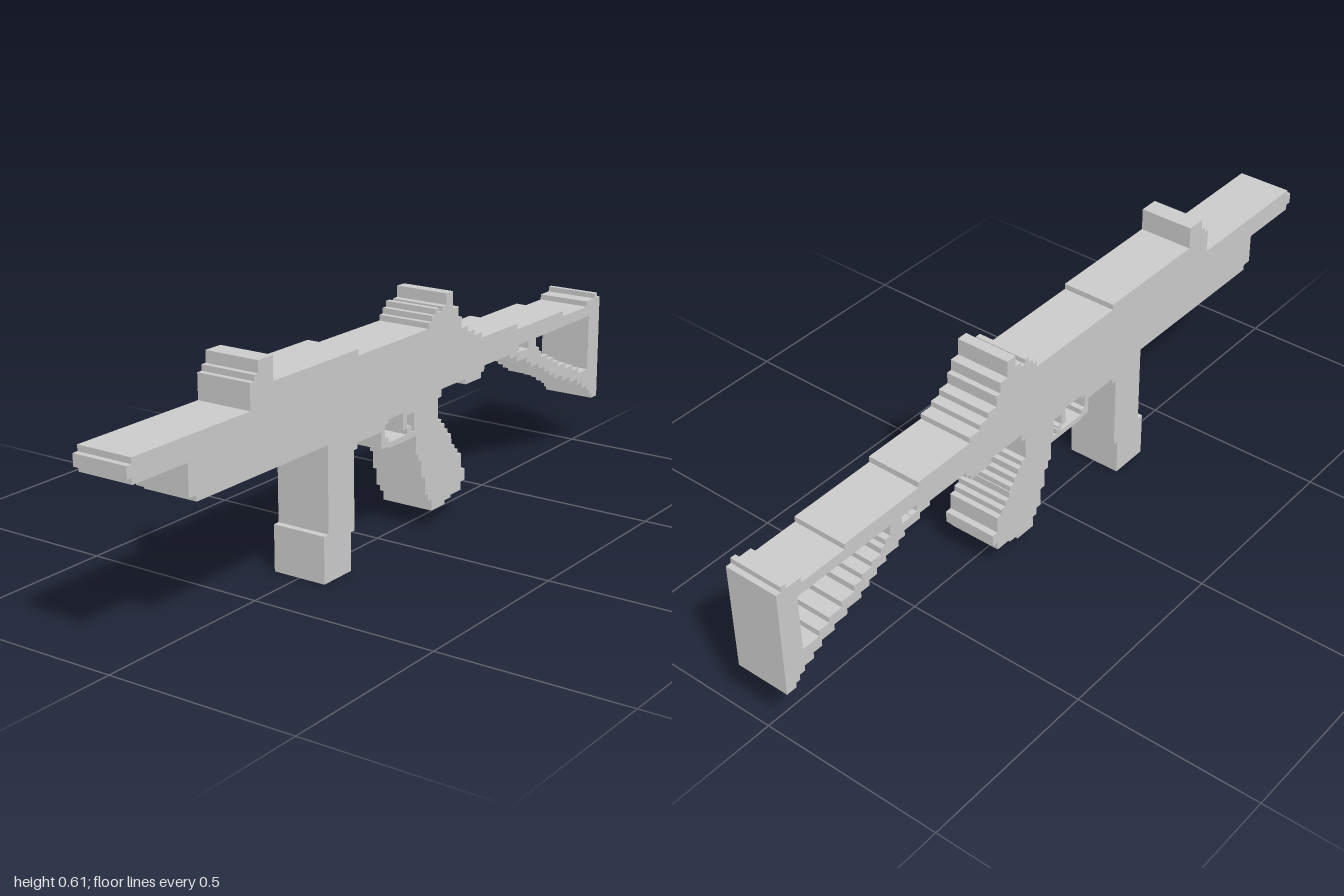
import * as THREE from 'three';

const WIDTH = 0.15;
const material = new THREE.MeshStandardMaterial({ color: 0xcccccc });

// Extrude a stair-stepped side profile across the width.
// Each span is [start, low, high] along the axis; the last one stops at end.
function stepped(name, spans, end, axis = 'z') {
  const high = [], low = [];
  spans.forEach(([start, lo, hi], i) => {
    const stop = i + 1 < spans.length ? spans[i + 1][0] : end;
    high.push([start, hi], [stop, hi]);
    low.push([start, lo], [stop, lo]);
  });
  const outline = [...high, ...low.reverse()]
    .filter((p, i, a) => i === 0 || p[0] !== a[i - 1][0] || p[1] !== a[i - 1][1])
    .map(([a, b]) => (axis === 'z' ? new THREE.Vector2(a, b) : new THREE.Vector2(b, a)));
  const geometry = new THREE.ExtrudeGeometry(new THREE.Shape(outline), { depth: WIDTH, bevelEnabled: false });
  geometry.translate(0, 0, -WIDTH / 2).rotateY(-Math.PI / 2);
  const mesh = new THREE.Mesh(geometry, material);
  mesh.name = name;
  return mesh;
}

export function createModel() {
  const model = new THREE.Group();
  model.name = 'blockGun';

  // Barrel and main body
  model.add(stepped('barrel', [[1, 0.455, 0.485], [0.985, 0.44, 0.5]], 0.81));
  model.add(stepped('receiver', [
    [0.81, 0.36, 0.5], [0.785, 0.345, 0.5], [0.595, 0.345, 0.55], [0.185, 0.345, 0.535],
    [-0.176, 0.365, 0.535], [-0.267, 0.365, 0.505], [-0.29, 0.35, 0.505], [-0.298, 0.35, 0.488],
    [-0.328, 0.35, 0.473], [-0.365, 0.365, 0.458], [-0.38, 0.38, 0.458],
  ], -0.51));

  // Sights
  model.add(stepped('frontSight', [[0.595, 0.55, 0.565], [0.58, 0.55, 0.58], [0.565, 0.55, 0.61]], 0.512));
  model.add(stepped('rearSight', [
    [-0.115, 0.535, 0.55], [-0.13, 0.535, 0.565], [-0.145, 0.535, 0.58], [-0.16, 0.535, 0.567],
    [-0.176, 0.535, 0.58], [-0.195, 0.535, 0.61], [-0.225, 0.535, 0.565],
  ], -0.252));

  // Magazine and the housing behind it
  model.add(stepped('magazine', [[0.345, 0.205, 0.31], [0.122, 0.205, 0.328], [0.1, 0.22, 0.328]], 0, 'y'));
  model.add(stepped('magazineHousing', [[0.205, 0.305, 0.345], [0.19, 0.32, 0.345]], 0.09));

  // Trigger guard and trigger
  const guard = new THREE.Group();
  guard.name = 'triggerGuard';
  guard.add(
    stepped('guardFront', [[0.09, 0.275, 0.345]], 0.075),
    stepped('guardBottom', [[0.075, 0.275, 0.3], [0.06, 0.27, 0.285]], -0.06),
    stepped('guardTop', [[0.075, 0.335, 0.345]], 0.06),
    stepped('trigger', [[-0.003, 0.3, 0.345], [-0.02, 0.285, 0.305], [-0.035, 0.285, 0.3]], -0.04),
    stepped('guardRearTop', [[-0.018, 0.335, 0.345]], -0.055),
  );
  model.add(guard);

  // Pistol grip, stepped from top to bottom: [height, rear, front]
  model.add(stepped('grip', [
    [0.365, -0.176, -0.052], [0.35, -0.16, -0.052], [0.285, -0.176, -0.055], [0.27, -0.191, -0.06],
    [0.252, -0.206, -0.06], [0.235, -0.222, -0.06], [0.22, -0.225, -0.073], [0.2, -0.24, -0.087],
    [0.184, -0.256, -0.087], [0.168, -0.272, -0.087], [0.15, -0.272, -0.103], [0.122, -0.29, -0.103],
    [0.1, -0.29, -0.118], [0.09, -0.272, -0.118], [0.08, -0.272, -0.134], [0.067, -0.225, -0.134],
    [0.06, -0.195, -0.134],
  ], 0.05, 'y'));

  // Shoulder stock: upper rail, sloping strut and butt plate
  const stock = new THREE.Group();
  stock.name = 'stock';
  stock.add(
    stepped('stockRail', [
      [-0.51, 0.38, 0.458], [-0.545, 0.38, 0.442], [-0.555, 0.397, 0.442],
      [-0.605, 0.38, 0.442], [-0.645, 0.397, 0.442], [-0.79, 0.397, 0.427], [-0.925, 0.397, 0.442],
    ], -0.94),
    stepped('stockStrut', [
      [-0.51, 0.368, 0.381], [-0.545, 0.352, 0.378], [-0.573, 0.352, 0.376], [-0.598, 0.336, 0.376],
      [-0.605, 0.336, 0.385], [-0.62, 0.32, 0.385], [-0.645, 0.32, 0.367], [-0.663, 0.305, 0.352],
      [-0.678, 0.305, 0.335], [-0.695, 0.288, 0.335], [-0.711, 0.288, 0.32], [-0.722, 0.272, 0.32],
      [-0.743, 0.272, 0.305], [-0.75, 0.256, 0.305], [-0.77, 0.256, 0.288], [-0.797, 0.24, 0.288],
      [-0.813, 0.24, 0.272], [-0.84, 0.224, 0.272], [-0.855, 0.224, 0.256], [-0.882, 0.207, 0.256],
      [-0.888, 0.207, 0.24], [-0.91, 0.19, 0.24],
    ], -0.94),
    stepped('buttPlate', [
      [-0.94, 0.175, 0.442], [-0.957, 0.16, 0.442], [-0.97, 0.147, 0.456], [-0.985, 0.147, 0.442],
    ], -1),
  );
  model.add(stock);
  return model;
}
